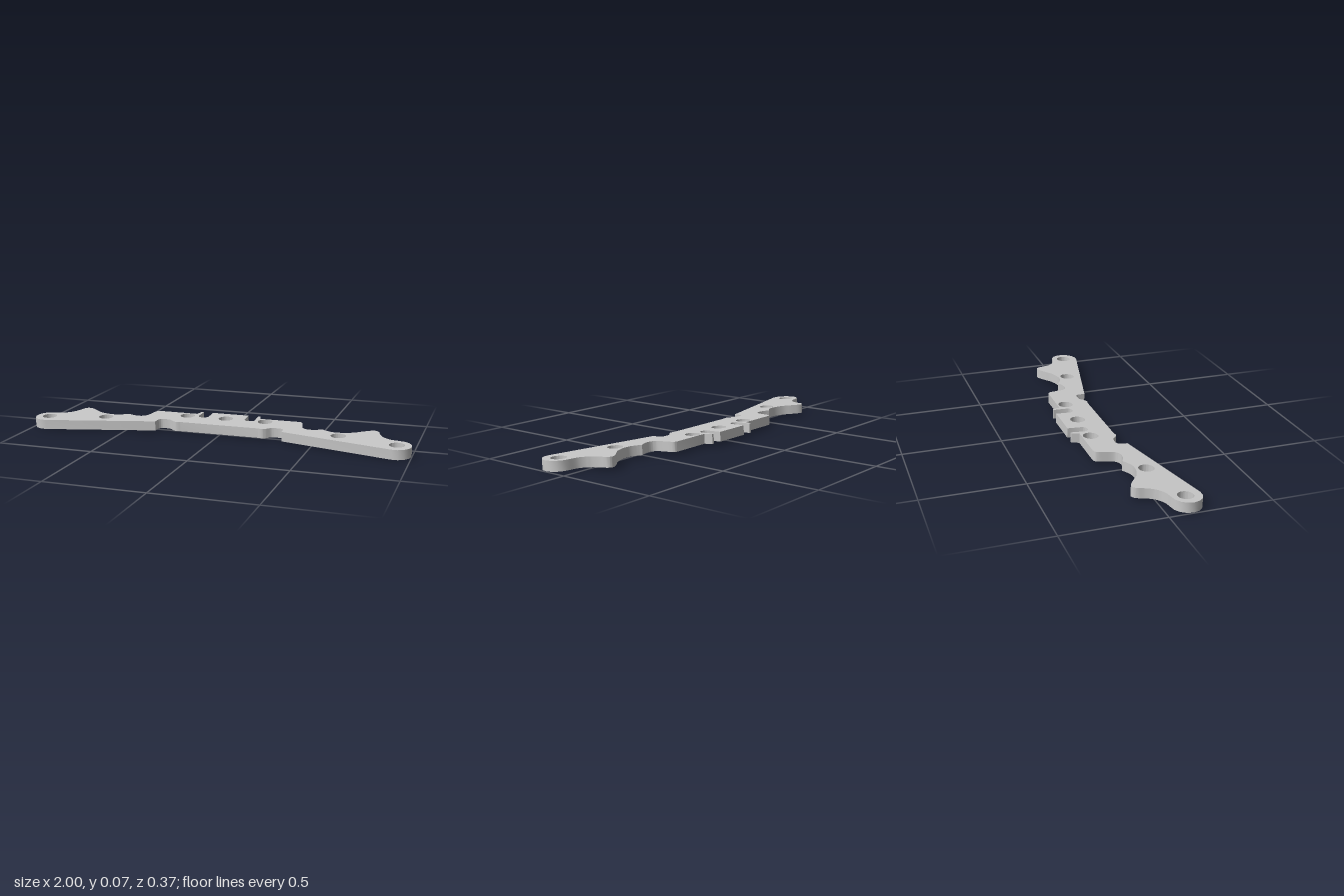
import * as THREE from 'three';
import { toCreasedNormals } from 'three/addons/utils/BufferGeometryUtils.js';

const THICKNESS = 0.05;
const TILT = 0.044; // the plate leans slightly, back edge higher

const v = (pairs) => pairs.map(([x, y]) => new THREE.Vector2(x, y));

// Outline of the left half (+x), drawn clockwise with the back edge towards +y
function halfOutline() {
  const p = new THREE.Path();
  // centre tab and rounded relief slot
  p.moveTo(0.1, 0.185);
  p.lineTo(0.1, 0.11);
  p.splineThru(v([[0.108, 0.095], [0.128, 0.088], [0.148, 0.095], [0.155, 0.11]]));
  // small pointed hook beside the slot
  p.lineTo(0.152, 0.184);
  p.lineTo(0.164, 0.184);
  p.lineTo(0.177, 0.145);
  // shoulder
  p.lineTo(0.385, 0.145);
  p.splineThru(v([[0.4, 0.139], [0.409, 0.122], [0.422, 0.062], [0.434, 0.04], [0.452, 0.03], [0.475, 0.028], [0.505, 0.036], [0.531, 0.048]]));
  // shallow scallop rising to the horn
  p.splineThru(v([[0.552, 0.033], [0.59, 0.018], [0.64, 0.02], [0.69, 0.038], [0.73, 0.068], [0.765, 0.092], [0.79, 0.099], [0.81, 0.084], [0.823, 0.043], [0.845, 0.004], [0.88, -0.024], [0.927, -0.035]]));
  // rounded end and straight front edge
  p.absarc(0.927, -0.108, 0.073, Math.PI / 2, -1.782, true);
  p.lineTo(0.342, -0.048);
  // front notch
  p.lineTo(0.338, -0.008);
  p.splineThru(v([[0.325, 0.004], [0.3, 0.006], [0.275, 0.002], [0.25, -0.019], [0.232, -0.027], [0.21, -0.023]]));
  return p.getPoints(4);
}

// Bolt holes as [x, y]; those off the centre are mirrored
const HOLES = [[0, 0.1], [0.214, 0.1], [0.628, -0.035], [0.927, -0.103]];

export function createModel() {
  const group = new THREE.Group();
  group.name = 'mountingBrace';
  const metal = new THREE.MeshStandardMaterial({ color: 0xc8c8c8 });
  metal.name = 'grey metal';

  // mirror the half outline into one closed shape
  const half = halfOutline();
  const mirrored = half.map((q) => new THREE.Vector2(-q.x, q.y)).reverse();
  const shape = new THREE.Shape([...half, ...mirrored]);

  // holes run against the outline so their walls face inwards
  for (const [x, y] of HOLES) {
    for (const cx of x === 0 ? [0] : [x, -x]) {
      const hole = new THREE.Path();
      hole.absarc(cx, y, 0.038, 0, Math.PI * 2, false);
      shape.holes.push(hole);
    }
  }

  const extruded = new THREE.ExtrudeGeometry(shape, { depth: THICKNESS, bevelEnabled: false, curveSegments: 32 });
  extruded.rotateX(-Math.PI / 2 + TILT);

  // centre the plate and rest it on the ground
  extruded.computeBoundingBox();
  const { min, max } = extruded.boundingBox;
  extruded.translate(-(min.x + max.x) / 2, -min.y, -(min.z + max.z) / 2);

  const plate = new THREE.Mesh(toCreasedNormals(extruded, 0.6), metal);
  plate.name = 'bracePlate';
  group.add(plate);
  return group;
}
